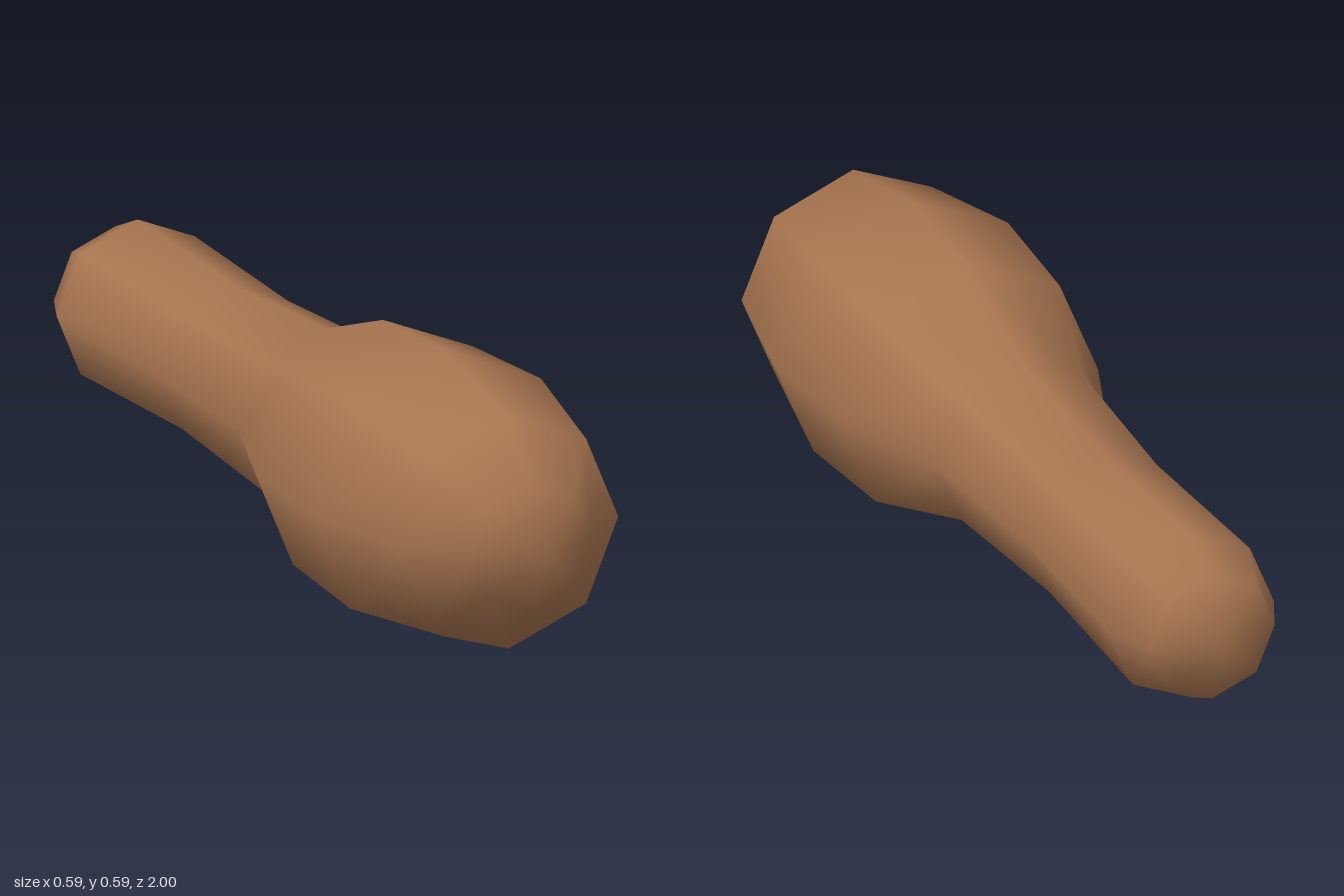
import * as THREE from 'three';
import { mergeVertices } from 'three/addons/utils/BufferGeometryUtils.js';

const RADIUS = 0.297;

// Radius and position along the length, from the slim end to the thick end
const PROFILE = [
  [0, -1], [0.135, -0.94], [0.178, -0.838], [0.165, -0.4], [0.187, 0],
  [0.281, 0.268], [RADIUS, 0.55], [0.241, 0.836], [0.133, 0.937], [0, 1],
];

export function createModel() {
  const group = new THREE.Group();
  group.name = 'drumstick';

  const brown = new THREE.MeshStandardMaterial({ color: 0xa87550 });
  brown.name = 'roasted brown';

  // Eight-sided body turned about its length, laid along z
  const lathe = new THREE.LatheGeometry(PROFILE.map(([r, z]) => new THREE.Vector2(r, z)), 8);
  lathe.rotateX(Math.PI / 2);

  // Weld the seam and both tips so the shading stays smooth
  lathe.deleteAttribute('uv');
  lathe.deleteAttribute('normal');
  const geometry = mergeVertices(lathe, 1e-4);
  geometry.computeVertexNormals();

  const body = new THREE.Mesh(geometry, brown);
  body.name = 'body';
  body.position.y = RADIUS;
  group.add(body);
  return group;
}
